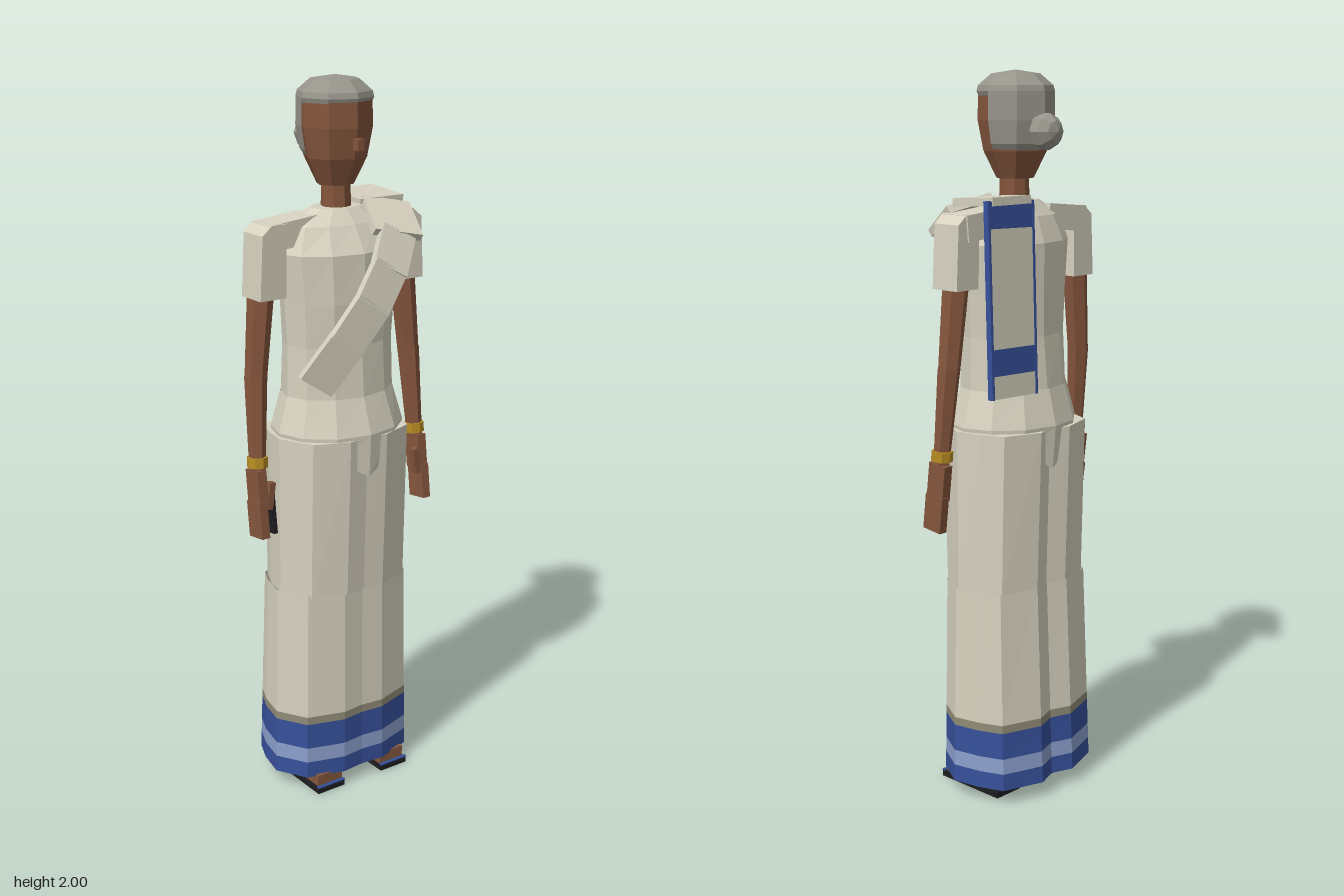
import * as THREE from 'three';

const mat = (name, color, double = true) => {
  const m = new THREE.MeshStandardMaterial({ color });
  m.name = name;
  if (double) m.side = THREE.DoubleSide;
  return m;
};

export function createModel() {
  const model = new THREE.Group();
  model.name = 'womanInDrapedDress';
  const cloth = mat('cream cloth', 0xd6d1bf);
  const trim = mat('taupe trim', 0x8f8b76);
  const blue = mat('deep blue', 0x36509a);
  const paleBlue = mat('pale blue', 0x8b9fcb);
  const skin = mat('brown skin', 0x85563d, false);
  const hair = mat('grey hair', 0x97958b);
  const gold = mat('gold', 0xb88c24, false);
  const black = mat('black', 0x1d1d20, false);

  // Faceted mesh added to the model
  const add = (name, geo, material) => {
    const g = geo.index ? geo.toNonIndexed() : geo;
    g.computeVertexNormals();
    const mesh = new THREE.Mesh(g, material);
    mesh.name = name;
    model.add(mesh);
    return mesh;
  };
  const box = (name, material, w, h, d, x, y, z) => {
    const m = add(name, new THREE.BoxGeometry(w, h, d), material);
    m.position.set(x, y, z);
    return m;
  };

  // Skin a list of rings, each a list of [x, y, z]; the cap fans from the ring's middle
  const loft = (rings, capTop = false) => {
    const pos = [];
    const n = rings[0].length;
    for (let r = 0; r < rings.length - 1; r++) {
      for (let i = 0; i < n; i++) {
        const j = (i + 1) % n, a = rings[r], b = rings[r + 1];
        pos.push(...a[i], ...a[j], ...b[j], ...a[i], ...b[j], ...b[i]);
      }
    }
    if (capTop) {
      const t = rings[rings.length - 1];
      const middle = [0, 1, 2].map(k => t.reduce((sum, p) => sum + p[k], 0) / n);
      for (let i = 0; i < n; i++) pos.push(...middle, ...t[i], ...t[(i + 1) % n]);
    }
    const g = new THREE.BufferGeometry();
    g.setAttribute('position', new THREE.Float32BufferAttribute(pos, 3));
    return g;
  };
  // Oval ring: height, half width, front depth, back depth, optional ragged edge
  const oval = ([y, w, front, back, jag = 0]) =>
    Array.from({ length: 12 }, (_, i) => {
      const a = (i / 12) * Math.PI * 2, c = Math.cos(a);
      return [Math.sin(a) * w, y - (i % 2 ? 0 : jag), c * (c > 0 ? front : back)];
    });

  // Blouse and its ragged lower edge
  add('blouse', loft([
    [1.15, 0.165, 0.125, 0.13], [1.3, 0.163, 0.115, 0.115], [1.42, 0.17, 0.125, 0.115],
    [1.55, 0.183, 0.125, 0.115], [1.62, 0.15, 0.08, 0.09], [1.66, 0.08, 0.045, 0.06],
  ].map(oval), true), cloth);
  add('waistCloth', loft([
    [0.99, 0.18, 0.152, 0.15, 0.05], [1.06, 0.193, 0.157, 0.16], [1.16, 0.165, 0.125, 0.135],
  ].map(oval)), cloth);

  // Pleated skirt: half outline from front to back, mirrored
  const half = [[0, 0.95], [0.3, 1], [0.78, 0.75], [1, 0.1], [0.92, -0.4], [0.8, -0.77], [0.28, -1], [0, -0.87]];
  const outline = [...half, ...half.slice(1, -1).reverse().map(([x, z]) => [-x, z])];
  const pleats = ([y, w, front, back]) =>
    outline.map(([x, z]) => [x * w, y, z * (z > 0 ? front : back)]);
  add('upperSkirt', loft([[0.6, 0.203, 0.135, 0.147], [1.05, 0.203, 0.15, 0.16]].map(pleats), true), cloth);
  const lowerRing = y => {
    const t = (0.61 - y) / 0.565;
    return pleats([y, 0.213 + 0.012 * t, 0.128 + 0.004 * t, 0.15 + 0.026 * t]);
  };
  [
    ['lowerSkirt', cloth, 0.235, 0.61], ['hemTrim', trim, 0.212, 0.235],
    ['hemUpperStripe', blue, 0.137, 0.212], ['hemMiddleStripe', paleBlue, 0.093, 0.137],
    ['hemLowerStripe', blue, 0.045, 0.093],
  ].forEach(([name, m, y0, y1]) => add(name, loft([lowerRing(y0), lowerRing(y1)]), m));

  // Head, neck and nose
  const lathe = (pts, start = 0, length = Math.PI * 2, n = 8) =>
    new THREE.LatheGeometry(pts.map(p => new THREE.Vector2(...p)), n, start, length);
  add('head', lathe([[0, 1.715], [0.05, 1.718], [0.085, 1.79], [0.1, 1.87], [0.098, 1.95], [0, 1.97]]), skin)
    .position.z = -0.008;
  add('neck', new THREE.CylinderGeometry(0.038, 0.042, 0.12, 8), skin).position.set(0, 1.69, -0.005);
  box('nose', skin, 0.022, 0.03, 0.02, 0, 1.83, 0.097);

  // Hair cap, hair down the back, and bun
  add('hairCap', lathe([[0.098, 1.93], [0.104, 1.945], [0.1, 1.96], [0.065, 1.99], [0, 2]]), hair)
    .position.z = -0.01;
  add('backHair', lathe([[0.078, 1.785], [0.095, 1.81], [0.105, 1.87], [0.104, 1.945]], Math.PI / 2, Math.PI, 4), hair)
    .position.z = -0.01;
  const bun = add('bun', new THREE.SphereGeometry(0.05, 8, 5), hair);
  bun.rotation.x = Math.PI / 2;
  bun.scale.y = 0.9;
  bun.position.set(0, 1.842, -0.118);

  // Tapered limb between two points
  const limb = (name, m, a, b, ra, rb, sides = 6) => {
    const A = new THREE.Vector3(...a), B = new THREE.Vector3(...b);
    const mesh = add(name, new THREE.CylinderGeometry(rb, ra, A.distanceTo(B), sides), m);
    mesh.position.copy(A).lerp(B, 0.5);
    mesh.quaternion.setFromUnitVectors(new THREE.Vector3(0, 1, 0), B.clone().sub(A).normalize());
  };

  // Arms, sleeves, hands, feet and sandals on both sides
  for (const s of [-1, 1]) {
    const side = s > 0 ? 'left' : 'right';
    const shoulder = box(side + 'Shoulder', cloth, 0.15, 0.07, 0.09, s * 0.155, 1.606, -0.015);
    shoulder.rotation.z = -s * 0.1;
    add(side + 'Sleeve', loft([
      [1.44, 0.228, 0.04], [1.61, 0.222, 0.037], [1.635, 0.205, 0.025],
    ].map(([y, x, w]) => [[-s * w, 0.035], [s * w, 0.035], [s * w, -0.055], [-s * w, -0.055]]
      .map(([dx, z]) => [s * x + dx, y, z])), true), cloth);
    limb(side + 'UpperArm', skin, [s * 0.257, 1.22, -0.012], [s * 0.23, 1.5, -0.018], 0.03, 0.037);
    limb(side + 'Forearm', skin, [s * 0.269, 0.97, 0.008], [s * 0.257, 1.23, -0.012], 0.022, 0.031);
    limb(side + 'Bracelet', gold, [s * 0.268, 0.982, 0.007], [s * 0.267, 1.01, 0.005], 0.029, 0.029, 8);
    const palm = box(side + 'Palm', skin, 0.028, 0.1, 0.06, s * 0.273, 0.925, 0.012);
    const fingers = box(side + 'Fingers', skin, 0.025, 0.1, 0.064, s * 0.277, 0.838, 0.022);
    palm.rotation.x = fingers.rotation.x = -0.12;
    const thumb = box(side + 'Thumb', skin, 0.018, 0.075, 0.02, s * 0.25, 0.905, 0.037);
    thumb.rotation.z = s * 0.15;

    limb(side + 'Ankle', skin, [s * 0.11, 0.03, -0.03], [s * 0.11, 0.3, -0.02], 0.033, 0.045);
    box(side + 'Foot', skin, 0.082, 0.035, 0.19, s * 0.11, 0.034, 0.025);
    box(side + 'Sandal', black, 0.092, 0.017, 0.22, s * 0.112, 0.0085, 0.02);
    box(side + 'SandalEdge', blue, 0.092, 0.004, 0.01, s * 0.112, 0.019, 0.127);
  }
  // Flat dark case held in the right hand
  box('handheldCase', black, 0.012, 0.14, 0.05, -0.243, 0.865, 0.022).rotation.x = -0.12;

  // Diagonal sash of overlapping folds across the chest
  const path = [
    [0.145, 1.655, 0.02], [0.115, 1.59, 0.115], [0.06, 1.51, 0.153],
    [0.0, 1.42, 0.16], [-0.07, 1.32, 0.14], [-0.135, 1.21, 0.095],
  ].map(p => new THREE.Vector3(...p));
  const facing = [[0.1, 1, 0.6], [0.1, 0.6, 1], [0, 0.25, 1], [-0.15, 0, 1], [-0.35, -0.15, 1]];
  facing.forEach((f, i) => {
    const along = path[i + 1].clone().sub(path[i]);
    const length = along.length();
    along.normalize();
    const across = new THREE.Vector3(...f).cross(along).normalize();
    const out = across.clone().cross(along);
    const fold = add('sashFold', new THREE.BoxGeometry(i ? 0.105 : 0.145, length + 0.012, 0.022), cloth);
    fold.quaternion.setFromRotationMatrix(new THREE.Matrix4().makeBasis(across, along, out));
    fold.position.copy(path[i]).lerp(path[i + 1], 0.5);
  });

  // Cloth over the left shoulder
  box('shoulderCloth', cloth, 0.145, 0.022, 0.145, 0.135, 1.666, -0.053).rotation.x = 0.06;

  // Cloth panel hanging down the back, with blue bands and side borders
  const panel = new THREE.Group();
  panel.name = 'backPanel';
  panel.position.set(0.143, 1.415, -0.13);
  panel.rotation.set(0.055, 0, 0.025);
  model.add(panel);
  [
    [cloth, 0.06, -0.225], [blue, 0.07, -0.16], [cloth, 0.31, 0.03], [blue, 0.07, 0.22],
  ].forEach(([m, h, y]) => panel.add(box('panelBand', m, 0.156, h, 0.014, 0, y, 0)));
  for (const s of [-1, 1]) panel.add(box('panelBorder', blue, 0.008, 0.512, 0.017, s * 0.082, 0, 0));

  return model;
}
